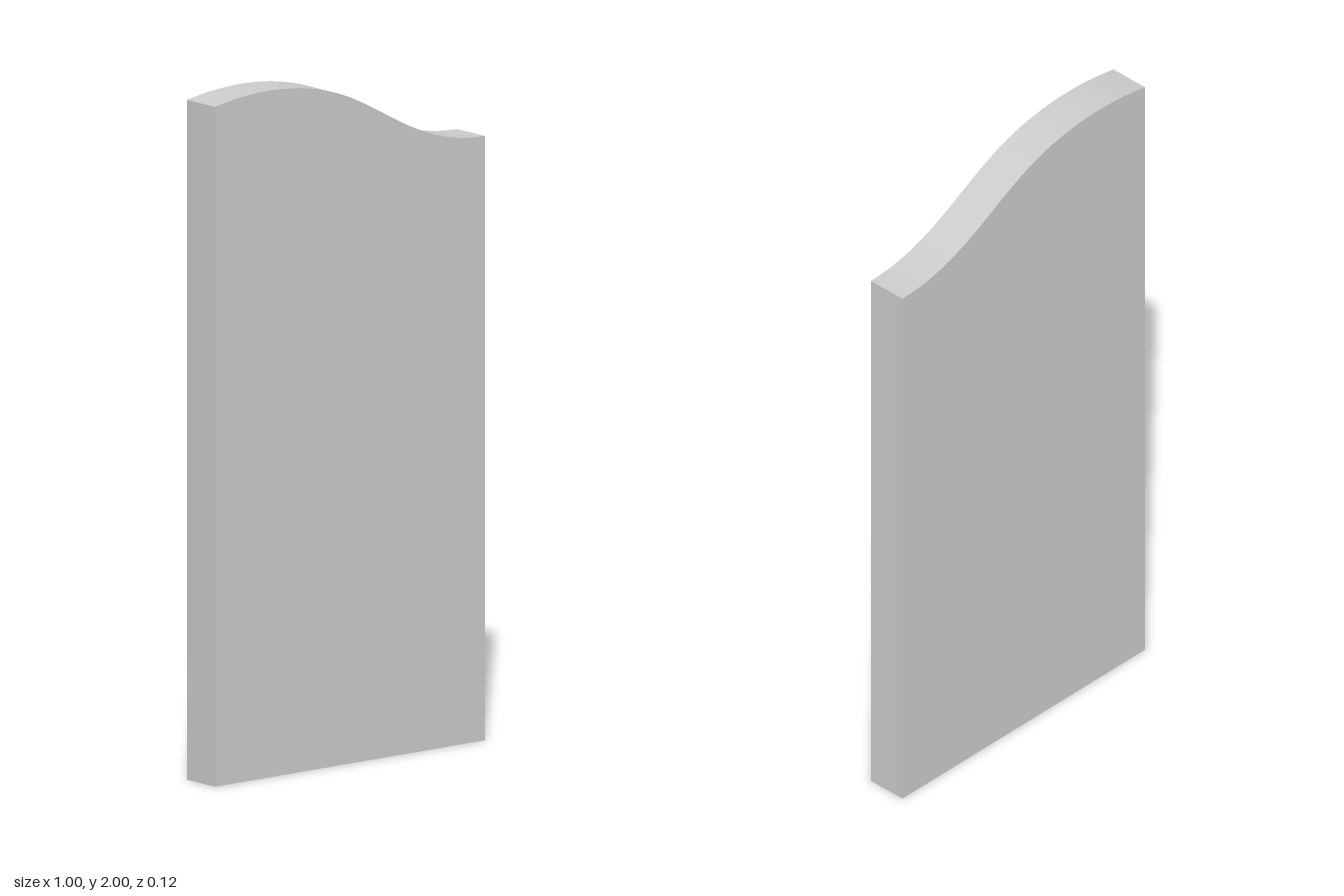
import * as THREE from 'three';
import { toCreasedNormals } from 'three/addons/utils/BufferGeometryUtils.js';

export function createModel() {
  const group = new THREE.Group();
  group.name = 'wavePanel';
  const halfWidth = 0.5, depth = 0.125;

  // Outline: straight sides and base, S-shaped top edge
  const outline = new THREE.Shape();
  outline.moveTo(halfWidth, 0);
  outline.lineTo(halfWidth, 1.76);
  outline.bezierCurveTo(0.28, 1.76, 0.16, 1.87, 0, 1.94);
  outline.bezierCurveTo(-0.16, 2.01, -0.34, 2.012, -halfWidth, 1.98);
  outline.lineTo(-halfWidth, 0);
  outline.closePath();

  // Flat slab, with the curved top shaded smoothly
  const slab = new THREE.ExtrudeGeometry(outline, { depth, bevelEnabled: false, curveSegments: 24 });
  slab.translate(0, 0, -depth / 2);

  const panel = new THREE.Mesh(
    toCreasedNormals(slab, 0.5),
    new THREE.MeshStandardMaterial({ color: 0xcccccc })
  );
  panel.name = 'panel';
  group.add(panel);
  return group;
}
